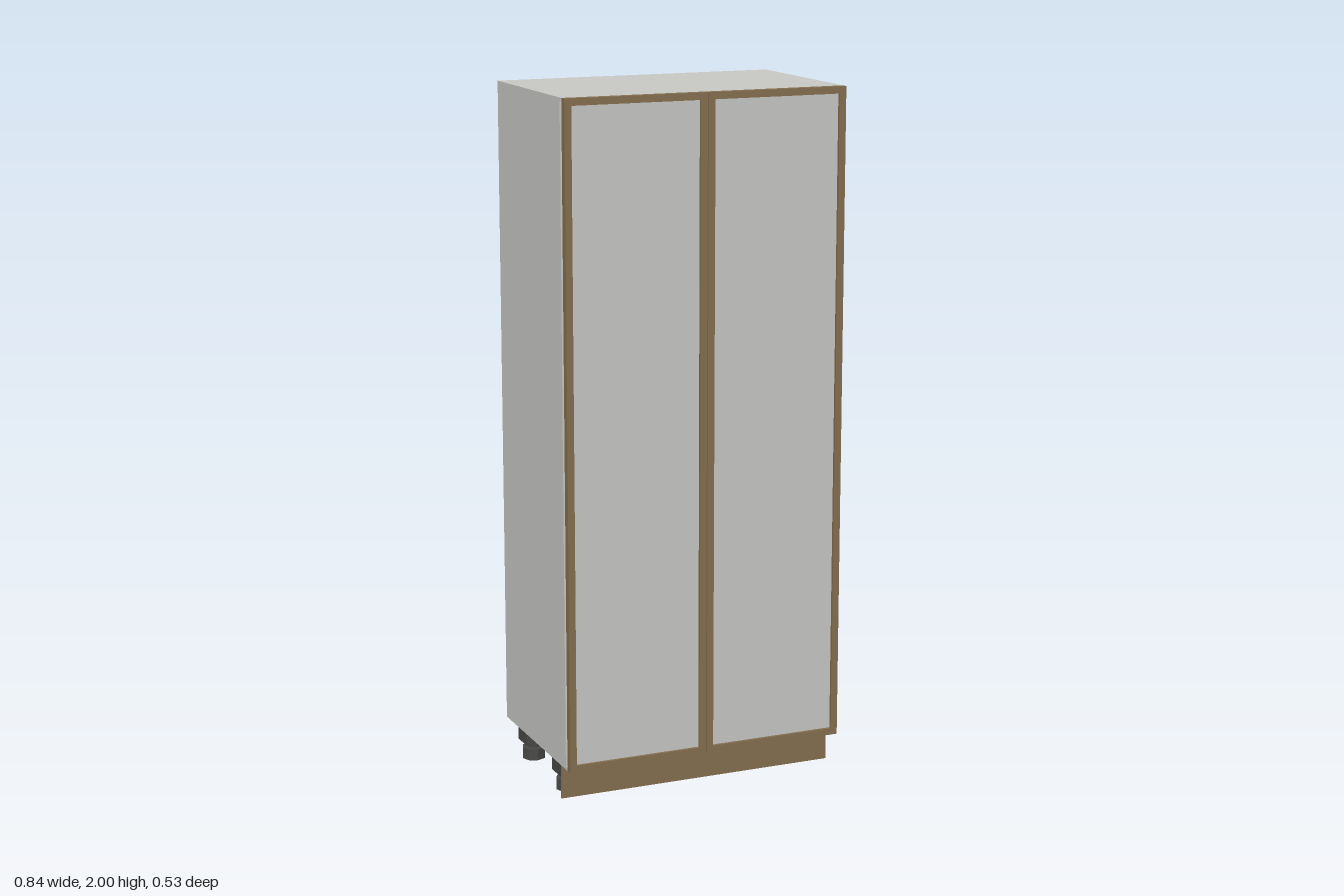
import * as THREE from 'three';

export function createModel() {
  const model = new THREE.Group();
  model.name = 'wardrobe';
  const material = (name, color) => {
    const m = new THREE.MeshStandardMaterial({ color });
    m.name = name;
    return m;
  };
  const grey = material('pale grey laminate', 0xc8c8c5);
  const wood = material('brown wood', 0x857050);
  const dark = material('dark plastic', 0x484846);

  // Box given by its limits on each axis
  const box = (name, mat, [x0, x1], [y0, y1], [z0, z1], parent = model) => {
    const mesh = new THREE.Mesh(new THREE.BoxGeometry(x1 - x0, y1 - y0, z1 - z0), mat);
    mesh.position.set((x0 + x1) / 2, (y0 + y1) / 2, (z0 + z1) / 2);
    mesh.name = name;
    parent.add(mesh);
    return mesh;
  };

  const W = 0.42, B = 0.1, T = 2, back = -0.263, front = 0.228, t = 0.018;

  // Carcass: sides between top and bottom boards
  for (const s of [-1, 1]) {
    const x = s < 0 ? [-W, -W + t] : [W - t, W];
    box(s < 0 ? 'rightSide' : 'leftSide', grey, x, [B, T], [back, front]);
  }
  box('topBoard', grey, [-W + t, W - t], [T - t, T], [back, front]);
  box('bottomBoard', grey, [-W + t, W - t], [B, B + t], [back, front]);

  // Narrow lips closing the gap behind the doors at top and bottom
  box('topLip', grey, [-W, W], [T - 0.01, T], [front, 0.24]);
  box('bottomLip', grey, [-W, W], [B, B + 0.01], [front, 0.24]);

  // Recessed back boards with narrow seams, and a shelf at each seam
  const count = 6, seam = 0.004, step = 0.3155;
  for (let i = 0; i < count; i++) {
    const y0 = i === 0 ? B + t : B + i * step + seam / 2;
    const y1 = i === count - 1 ? T - t : B + (i + 1) * step - seam / 2;
    box('backBoard', grey, [-W + t, W - t], [y0, y1], [back + 0.014, back + 0.022]);
    if (i > 0) {
      const y = B + i * step;
      box('shelf', grey, [-W + t, W - t], [y - 0.009, y + 0.009], [back + 0.024, 0.2]);
      box('backSeam', dark, [-W + t, W - t], [y - seam / 2, y + seam / 2], [back + 0.015, back + 0.021]);
    }
  }

  // Framed doors with inset panels
  const rail = 0.02, z = [0.241, 0.263];
  for (const s of [-1, 1]) {
    const door = new THREE.Group();
    door.name = s < 0 ? 'rightDoor' : 'leftDoor';
    const [x0, x1] = s < 0 ? [-W, -0.0015] : [0.0015, W];
    const shape = new THREE.Shape();
    shape.moveTo(x0, B).lineTo(x1, B).lineTo(x1, T).lineTo(x0, T).closePath();
    const hole = new THREE.Path();
    hole.moveTo(x0 + rail, B + rail).lineTo(x0 + rail, T - rail);
    hole.lineTo(x1 - rail, T - rail).lineTo(x1 - rail, B + rail).closePath();
    shape.holes.push(hole);
    const geometry = new THREE.ExtrudeGeometry(shape, { depth: z[1] - z[0], bevelEnabled: false });
    const frame = new THREE.Mesh(geometry, wood);
    frame.name = 'doorFrame';
    frame.position.z = z[0];
    door.add(frame);
    box('doorPanel', grey, [x0 + rail, x1 - rail], [B + rail, T - rail], [z[0] + 0.001, z[1] - 0.009], door);
    model.add(door);
  }

  // Thin kickboard in front of the feet
  box('kickboard', wood, [-W, W], [0, B], [0.188, 0.192]);

  // Adjustable feet: square socket, threaded neck and hexagonal pad
  for (const x of [-0.372, 0.372]) {
    for (const fz of [-0.163, 0.118]) {
      const foot = new THREE.Group();
      foot.name = 'foot';
      foot.position.set(x, 0, fz);
      box('footSocket', dark, [-0.035, 0.035], [0.05, B], [-0.035, 0.035], foot);
      const cylinder = (name, r0, r1, y0, y1, sides) => {
        const g = new THREE.CylinderGeometry(r1, r0, y1 - y0, sides).toNonIndexed();
        g.computeVertexNormals();
        const mesh = new THREE.Mesh(g, dark);
        mesh.name = name;
        mesh.position.y = (y0 + y1) / 2;
        foot.add(mesh);
      };
      cylinder('footNeck', 0.018, 0.018, 0.03, 0.05, 8);
      cylinder('footCollar', 0.025, 0.025, 0.038, 0.046, 8);
      cylinder('footPad', 0.035, 0.035, 0, 0.034, 8);
      model.add(foot);
    }
  }
  return model;
}
